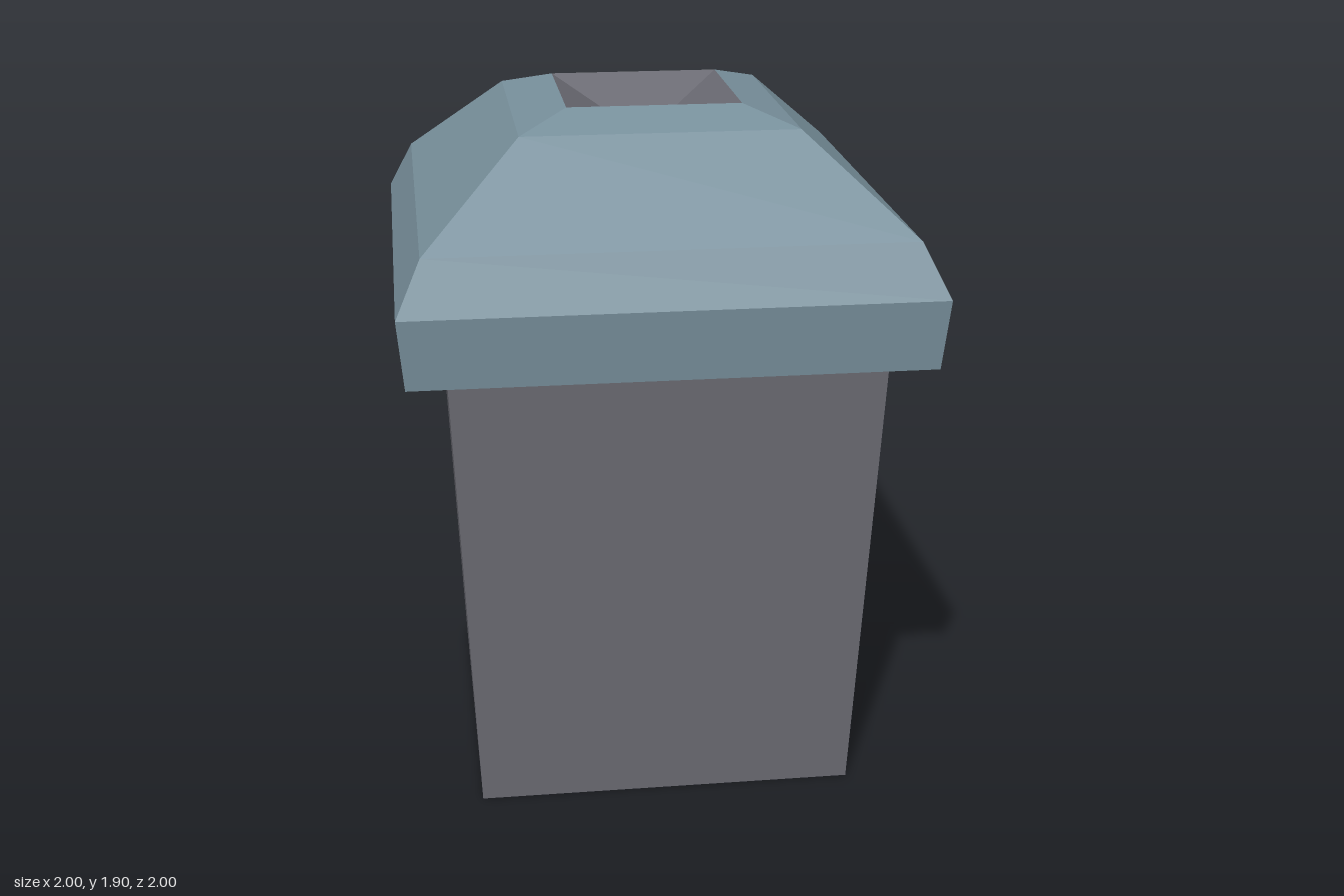
import * as THREE from 'three';

// Four-sided turned shape with its corners on the x and z axes
function squareLathe(name, profile, material) {
  const points = profile.map(([r, y]) => new THREE.Vector2(r, y));
  const geometry = new THREE.LatheGeometry(points, 4).toNonIndexed();
  geometry.computeVertexNormals(); // flat facets
  const mesh = new THREE.Mesh(geometry, material);
  mesh.name = name;
  return mesh;
}

export function createModel() {
  const darkGrey = new THREE.MeshStandardMaterial({ name: 'darkGrey', color: 0x6a6a72, flatShading: true });
  const blueGrey = new THREE.MeshStandardMaterial({
    name: 'blueGrey', color: 0x78909c, flatShading: true, side: THREE.DoubleSide,
  });

  const model = new THREE.Group();
  model.name = 'bin';

  // Tapered body with a closed floor, running up inside the lid
  model.add(squareLathe('body', [[0, 0], [0.737, 0], [0.824, 1.29], [0.84, 1.52]], darkGrey));

  // Hollow lid shell, open underneath
  model.add(squareLathe('lid', [
    [0.975, 1.29], [1, 1.48], [0.905, 1.62], [0.525, 1.86], [0.333, 1.905],
  ], blueGrey));

  // Sunken pyramid in the top of the lid
  model.add(squareLathe('topRecess', [[0.333, 1.905], [0, 1.77]], darkGrey));

  return model;
}
